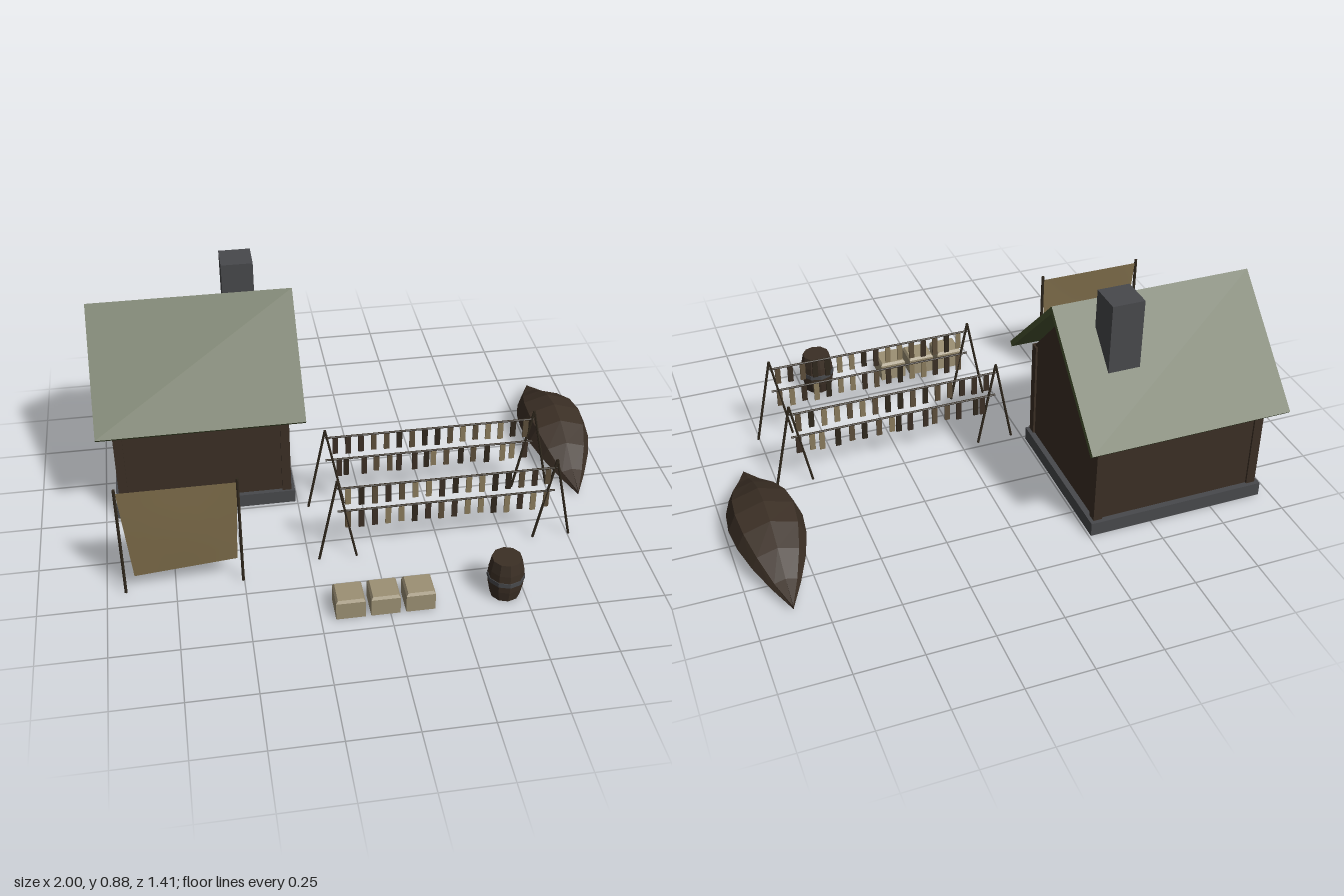
import * as THREE from 'three';

const mat = (name, color, extra = {}) => {
  const m = new THREE.MeshStandardMaterial({ color, ...extra });
  m.name = name;
  return m;
};

export function createModel() {
  const root = new THREE.Group();
  root.name = 'fishingHut';
  const flat = { flatShading: true };
  const roofGreen = mat('turfGreen', 0x4a5531, flat);
  const wood = mat('wallWood', 0x3b2f25, flat);
  const darkWood = mat('darkWood', 0x30281d, flat);
  const stone = mat('stone', 0x48494c, flat);
  const canvas = mat('canvas', 0x7c6b49, { side: THREE.DoubleSide });
  const crateWood = mat('paleWood', 0x9c9074, flat);
  const fishMid = mat('driedFish', 0x5c4e3a, flat);
  const fishLight = mat('paleFish', 0x8a7b5c, flat);

  const add = (parent, name, geo, material, x = 0, y = 0, z = 0) => {
    const m = new THREE.Mesh(geo, material);
    m.name = name;
    m.position.set(x, y, z);
    parent.add(m);
    return m;
  };
  // Box given by its limits on each axis
  const block = (parent, name, material, x0, x1, y0, y1, z0, z1) =>
    add(parent, name, new THREE.BoxGeometry(x1 - x0, y1 - y0, z1 - z0), material,
      (x0 + x1) / 2, (y0 + y1) / 2, (z0 + z1) / 2);
  // Outline of [z, y] points extruded along x
  const prism = (parent, name, material, points, x0, x1) => {
    const shape = new THREE.Shape(points.map(([z, y]) => new THREE.Vector2(-z, y)));
    const geo = new THREE.ExtrudeGeometry(shape, { depth: x1 - x0, bevelEnabled: false });
    geo.rotateY(Math.PI / 2);
    return add(parent, name, geo, material, x0);
  };
  // Thin pole between two points
  const pole = (parent, name, a, b, r) => {
    const p = new THREE.Vector3(...a), q = new THREE.Vector3(...b);
    const m = add(parent, name, new THREE.CylinderGeometry(r, r, p.distanceTo(q), 6), darkWood);
    m.position.copy(p).add(q).multiplyScalar(0.5);
    m.quaternion.setFromUnitVectors(new THREE.Vector3(0, 1, 0), q.sub(p).normalize());
  };
  const group = (name) => {
    const g = new THREE.Group();
    g.name = name;
    root.add(g);
    return g;
  };

  // House
  const house = group('house');
  block(house, 'foundation', stone, -0.957, -0.258, 0, 0.055, -0.648, -0.014);
  prism(house, 'walls', wood,
    [[-0.033, 0.05], [-0.033, 0.457], [-0.317, 0.76], [-0.625, 0.457], [-0.625, 0.05]], -0.934, -0.28);
  for (const x of [-0.942, -0.307])
    for (const z of [-0.633, -0.058])
      block(house, 'cornerPost', wood, x, x + 0.035, 0.05, 0.457, z, z + 0.035);
  block(house, 'door', wood, -0.712, -0.502, 0.055, 0.388, -0.034, -0.026);
  block(house, 'lintel', darkWood, -0.725, -0.489, 0.385, 0.415, -0.034, -0.017);
  prism(house, 'frontRoof', roofGreen,
    [[0.0625, 0.43], [-0.311, 0.8], [-0.311, 0.77], [0.047, 0.415]], -1, -0.215);
  prism(house, 'backRoof', roofGreen,
    [[-0.311, 0.8], [-0.705, 0.415], [-0.69, 0.4], [-0.311, 0.77]], -1, -0.215);
  block(house, 'chimney', stone, -0.478, -0.355, 0.5, 0.88, -0.508, -0.383);

  // Canvas windbreak on two poles
  const windbreak = group('windbreak');
  for (const x of [-0.932, -0.504]) pole(windbreak, 'windbreakPole', [x, 0, 0.422], [x, 0.467, 0.422], 0.006);
  const cloth = new THREE.PlaneGeometry(1, 1, 6, 6);
  const cp = cloth.attributes.position;
  for (let i = 0; i < cp.count; i++) {
    const u = cp.getX(i) + 0.5, v = 0.5 - cp.getY(i);
    const left = -0.928 + 0.033 * v, right = -0.506 - 0.015 * v;
    const bottom = 0.072 + 0.035 * u;
    cp.setXYZ(i, left + (right - left) * u, 0.45 + (bottom - 0.45) * v,
      0.422 + 0.004 * Math.sin(Math.PI * u) * Math.sin(Math.PI * v));
  }
  cloth.computeVertexNormals();
  add(windbreak, 'canvasSheet', cloth, canvas);

  // Two drying racks hung with fish
  let seed = 11;
  const rand = () => (seed = (seed * 16807) % 2147483647) / 2147483647;
  const fishColours = [darkWood, wood, fishMid, fishLight];
  [0.027, 0.35].forEach((z, k) => {
    const rack = group('dryingRack');
    for (const x of [-0.141, 0.684])
      for (const s of [-1, 1]) pole(rack, 'rackLeg', [x + s * 0.071, 0, z], [x, 0.358, z], 0.005);
    [0.322, 0.217].forEach((y, row) => {
      pole(rack, 'rackBar', [-0.141, y, z], [0.684, y, z], 0.004);
      for (let i = 0; i < 16; i++) {
        const x = -0.102 + i * 0.0503 + row * (k ? 0 : 1) * (rand() - 0.5) * 0.03;
        const len = 0.066 + rand() * 0.012;
        const colour = fishColours[Math.floor(rand() * 4)];
        add(rack, 'fish', new THREE.BoxGeometry(0.021, len, 0.007), colour, x, y - 0.004 - len / 2, z);
      }
    });
  });

  // Barrel with an iron hoop
  const barrel = group('barrel');
  barrel.position.set(0.43, 0, 0.637);
  const staves = [[0, 0], [0.055, 0], [0.064, 0.045], [0.067, 0.082], [0.064, 0.12], [0.055, 0.164], [0, 0.164]];
  add(barrel, 'staves', new THREE.LatheGeometry(staves.map((p) => new THREE.Vector2(...p)), 10), wood);
  add(barrel, 'hoop', new THREE.CylinderGeometry(0.069, 0.069, 0.018, 10), stone, 0, 0.082, 0);

  // Three crates with bevelled lids
  for (const x of [-0.144, -0.0175, 0.1095]) {
    const crate = group('crate');
    block(crate, 'crateBody', crateWood, x - 0.053, x + 0.053, 0, 0.07, 0.581, 0.687);
    const lid = new THREE.CylinderGeometry(0.046 * Math.SQRT2, 0.053 * Math.SQRT2, 0.01, 4);
    lid.rotateY(Math.PI / 4);
    add(crate, 'crateLid', lid, crateWood, x, 0.075, 0.634);
  }

  // Upturned boat: hull sections tapering to both ends
  const stations = 8, half = 0.394;
  const section = [[0, 0], [0.137, 0.07], [0.107, 0.138], [0, 0.172], [-0.107, 0.138], [-0.137, 0.07]];
  const pos = [], idx = [], n = section.length;
  for (let i = 0; i <= stations; i++) {
    const t = -1 + (2 * i) / stations;
    const w = Math.max(0.01, Math.cos((t * Math.PI) / 2));
    const h = Math.max(0.09, Math.pow(w, 1.2));
    for (const [x, y] of section) pos.push(x * w, 0.01 + y * h, t * half);
  }
  for (let i = 0; i < stations; i++)
    for (let j = 0; j < n; j++) {
      const a = i * n + j, b = i * n + ((j + 1) % n);
      idx.push(a, b, b + n, a, b + n, a + n);
    }
  for (let j = 1; j < n - 1; j++) {
    const e = stations * n;
    idx.push(0, j + 1, j, e, e + j, e + j + 1);
  }
  const hull = new THREE.BufferGeometry();
  hull.setAttribute('position', new THREE.Float32BufferAttribute(pos, 3));
  hull.setIndex(idx);
  hull.computeVertexNormals();
  add(group('boat'), 'hull', hull, wood, 0.86, 0, -0.26);

  return root;
}
